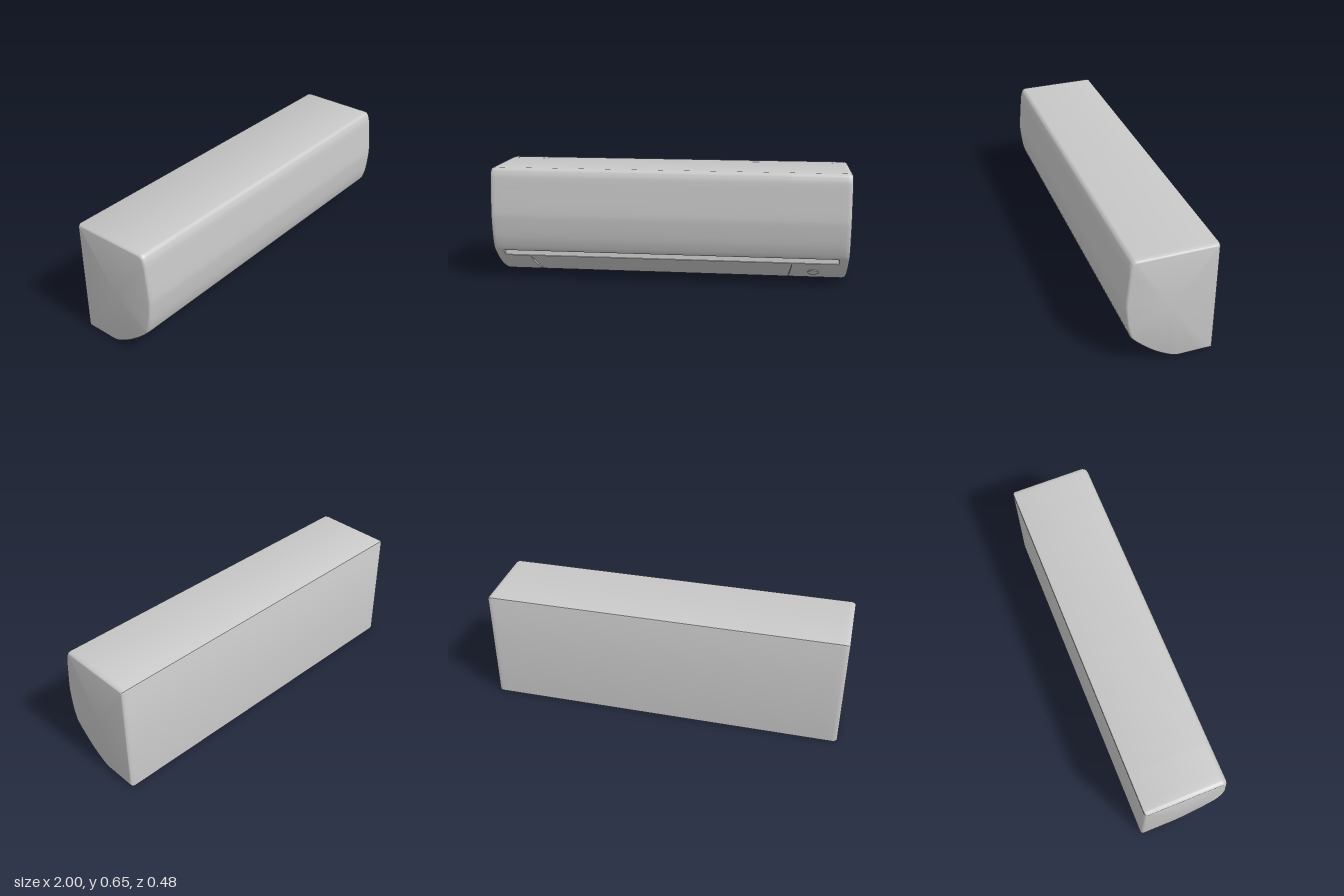
import * as THREE from 'three';
import { toCreasedNormals } from 'three/addons/utils/BufferGeometryUtils.js';

const spline = (pts, n) =>
  new THREE.SplineCurve(pts.map(([z, y]) => new THREE.Vector2(z, y))).getPoints(n);

// Side outline as (z, y): underside curve first, then back, top and front panel
const under = spline([[0.2, 0.172], [0.165, 0.135], [0.11, 0.086], [0.06, 0.05],
  [0, 0.016], [-0.03, 0.004], [-0.06, 0]], 24);
const back = [[-0.15, 0], [-0.24, 0], [-0.24, 0.638], [-0.237, 0.645], [-0.23, 0.648], [0.19, 0.648]]
  .map(([z, y]) => new THREE.Vector2(z, y));
const front = spline([[0.199, 0.646], [0.21, 0.637], [0.218, 0.62], [0.225, 0.592], [0.233, 0.51],
  [0.242, 0.41], [0.242, 0.36], [0.231, 0.26], [0.217, 0.205], [0.208, 0.182]], 27);
const outline = [...under, ...back, ...front];
const FLAP_START = 4, FLAP_END = 18;

// Outline with the air slot cut in, and optionally the flat recessed flap
function cutOutline(withFlap) {
  const pts = outline.map(p => p.clone());
  pts[1].set(0.157, 0.172);
  pts[2].set(0.159, 0.155);
  pts[3].set(0.162, 0.137);
  if (withFlap) {
    for (let j = FLAP_START + 1; j < FLAP_END; j++) {
      const t = (j - FLAP_START) / (FLAP_END - FLAP_START);
      pts[j].lerpVectors(outline[FLAP_START], outline[FLAP_END], t);
    }
  }
  return pts;
}

// One cross-section; slant shifts x along the flap's edge
function ring(pts, x, inset = 0, slant = 0) {
  const sz = 1 - inset / 0.241, sy = 1 - inset / 0.324;
  return pts.map((p, j) => {
    const t = THREE.MathUtils.clamp((j - FLAP_START) / (FLAP_END - FLAP_START), 0, 1);
    return new THREE.Vector3(x + slant * t, 0.324 + (p.y - 0.324) * sy, p.x * sz);
  });
}

function loft(rings) {
  const pos = [], n = rings[0].length, tri = new THREE.Triangle();
  const add = (a, b, c) => {
    if (tri.set(a, b, c).getArea() > 1e-9) pos.push(...a, ...b, ...c);
  };
  for (let i = 0; i < rings.length - 1; i++) {
    for (let j = 0; j < n; j++) {
      const k = (j + 1) % n, r = rings[i], s = rings[i + 1];
      add(r[j], r[k], s[j]);
      add(r[k], s[k], s[j]);
    }
  }
  const g = new THREE.BufferGeometry();
  g.setAttribute('position', new THREE.Float32BufferAttribute(pos, 3));
  return toCreasedNormals(g, 0.5);
}

export function createModel() {
  const model = new THREE.Group();
  model.name = 'wallAirConditioner';
  const plastic = new THREE.MeshStandardMaterial({ color: 0xc8c8c8 });
  plastic.name = 'light grey plastic';

  // Rounded end: centre point, then the rounded rim
  const end = side => {
    const list = [ring(outline.map(() => new THREE.Vector2(0, 0.324)), side)];
    for (let k = 0; k <= 5; k++) {
      const a = (k / 5) * Math.PI / 2;
      list.push(ring(outline, side * (0.975 + 0.025 * Math.cos(a)), 0.013 * (1 - Math.sin(a))));
    }
    return list;
  };

  // Casing with the long slot and the flap recess
  const slot = cutOutline(false), flap = cutOutline(true);
  const casing = new THREE.Mesh(loft([
    ...end(-1),
    ring(outline, -0.945), ring(slot, -0.945),
    ring(slot, -0.8, 0, 0.03), ring(flap, -0.8, 0, 0.03),
    ring(flap, 0.69, 0, -0.02), ring(slot, 0.69, 0, -0.02),
    ring(slot, 0.945), ring(outline, 0.945),
    ...end(1).reverse(),
  ]), plastic);
  casing.name = 'casing';
  model.add(casing);

  // Round sensor on the underside curve
  const sensor = new THREE.Mesh(new THREE.CylinderGeometry(0.031, 0.031, 0.008, 32), plastic);
  sensor.name = 'sensor';
  sensor.position.set(0.81, 0.067, 0.087);
  sensor.quaternion.setFromUnitVectors(new THREE.Vector3(0, 1, 0),
    new THREE.Vector3(0, -0.8, 0.6).normalize());
  model.add(sensor);

  return model;
}
